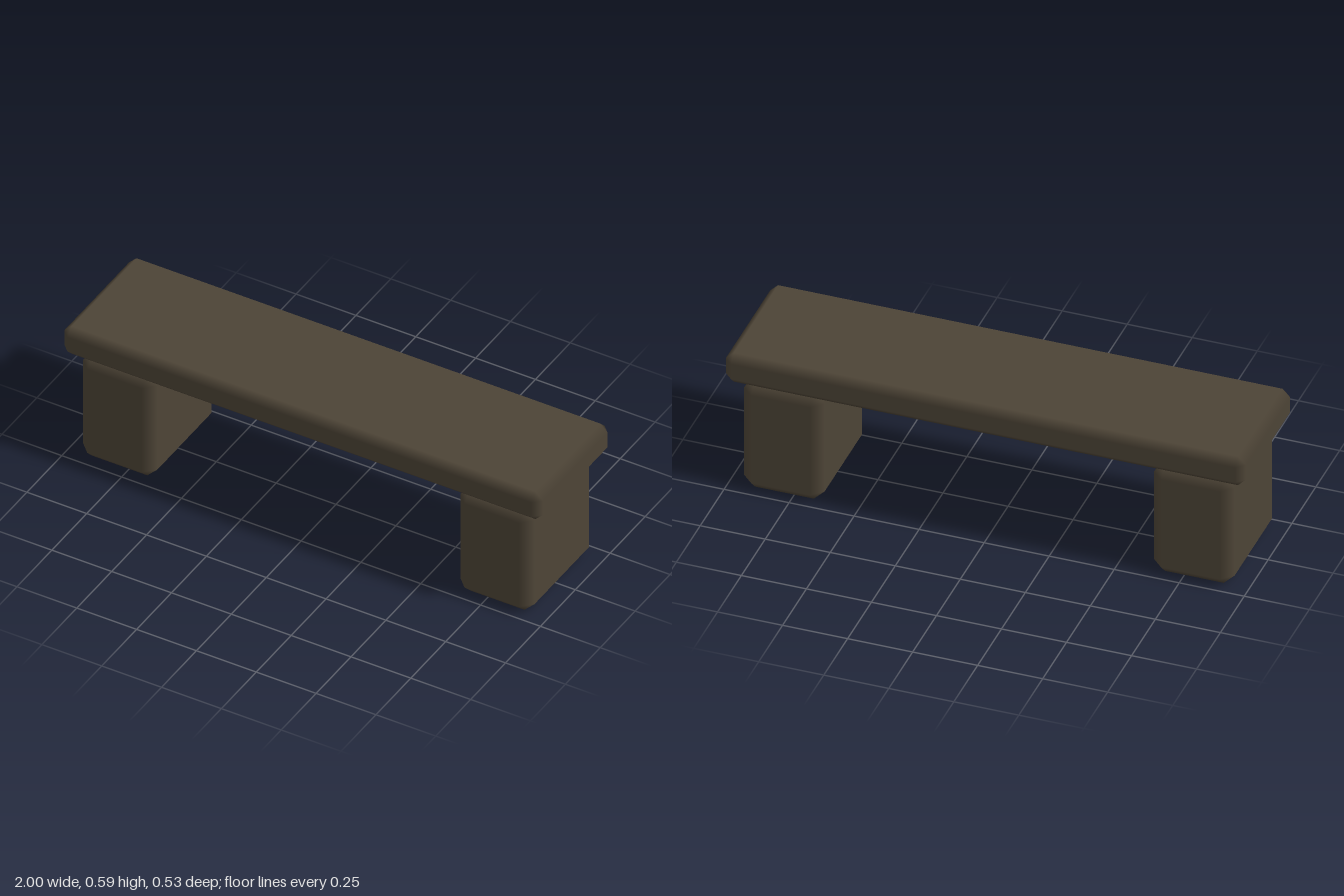
import * as THREE from 'three';

// Box with a single 45 degree chamfer; face normals blend smoothly across the chamfers
function chamferBox(w, h, d, bevel) {
  const half = [w / 2, h / 2, d / 2];
  const positions = [], normals = [], index = [];
  // three vertices per corner, one for each face meeting there
  for (let c = 0; c < 8; c++) {
    const s = [0, 1, 2].map((k) => ((c >> k) & 1 ? 1 : -1));
    for (let a = 0; a < 3; a++) {
      for (let k = 0; k < 3; k++) {
        positions.push(s[k] * (k === a ? half[k] : half[k] - bevel));
        normals.push(k === a ? s[k] : 0);
      }
    }
  }
  const point = (i) => new THREE.Vector3().fromArray(positions, i * 3);
  // adds a triangle, turned to face away from the centre
  const tri = (i, j, k) => {
    const a = point(i), b = point(j), c = point(k);
    const n = b.clone().sub(a).cross(c.clone().sub(a));
    if (n.dot(a) > 0) index.push(i, j, k);
    else index.push(i, k, j);
  };
  const quad = (i, j, k, l) => { tri(i, j, k); tri(i, k, l); };
  for (let a = 0; a < 3; a++) {
    const b = (a + 1) % 3, c = (a + 2) % 3;
    const A = 1 << a, B = 1 << b, C = 1 << c;
    // flat faces
    for (const s of [0, A]) quad(s * 3 + a, (s + B) * 3 + a, (s + B + C) * 3 + a, (s + C) * 3 + a);
    // chamfers running along axis a
    for (const s of [0, B, C, B + C]) quad(s * 3 + b, s * 3 + c, (s + A) * 3 + c, (s + A) * 3 + b);
  }
  // corner triangles
  for (let c = 0; c < 8; c++) tri(c * 3, c * 3 + 1, c * 3 + 2);

  const geometry = new THREE.BufferGeometry();
  geometry.setAttribute('position', new THREE.Float32BufferAttribute(positions, 3));
  geometry.setAttribute('normal', new THREE.Float32BufferAttribute(normals, 3));
  geometry.setIndex(index);
  return geometry;
}

export function createModel() {
  const model = new THREE.Group();
  model.name = 'bench';
  const stone = new THREE.MeshStandardMaterial({ color: 0x4d4436 });
  stone.name = 'dark brown stone';

  // seat slab
  const seat = new THREE.Mesh(chamferBox(2, 0.126, 0.526, 0.031), stone);
  seat.name = 'seat';
  seat.position.y = 0.528;
  model.add(seat);

  // two block legs
  const legGeometry = chamferBox(0.31, 0.465, 0.474, 0.042);
  for (const side of [-1, 1]) {
    const leg = new THREE.Mesh(legGeometry, stone);
    leg.name = side > 0 ? 'leftLeg' : 'rightLeg';
    leg.position.set(side * 0.788, 0.2325, 0);
    model.add(leg);
  }
  return model;
}
